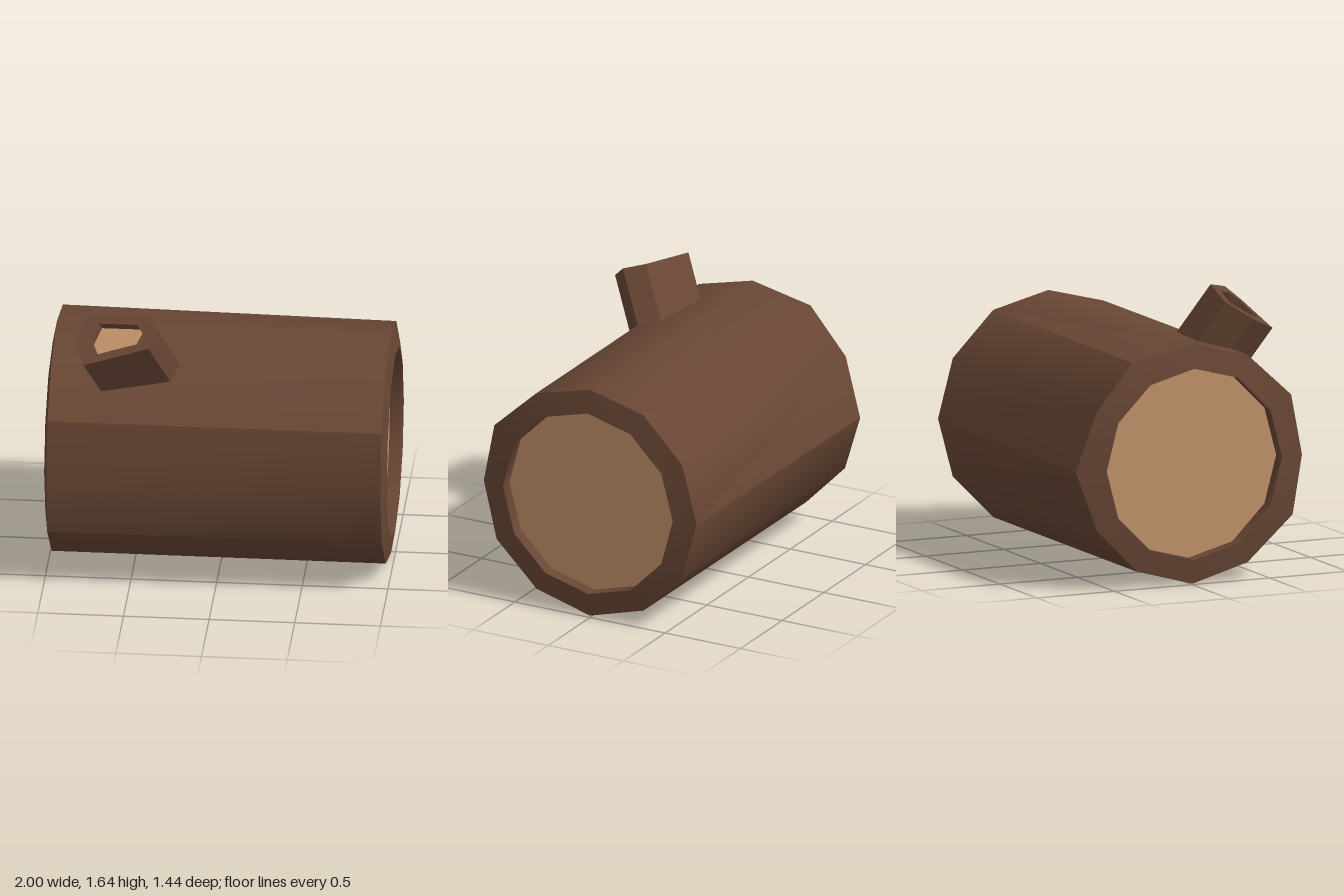
import * as THREE from 'three';
import { toCreasedNormals } from 'three/addons/utils/BufferGeometryUtils.js';

const bark = new THREE.MeshStandardMaterial({ color: 0x684634 });
const wood = new THREE.MeshStandardMaterial({ color: 0xc2926a });

function buildGeometry(points, index) {
  const geo = new THREE.BufferGeometry().setFromPoints(points);
  geo.setIndex(index);
  return toCreasedNormals(geo, THREE.MathUtils.degToRad(33));
}

// Skin through rings that run clockwise as seen from the last ring's side
function loft(rings) {
  const n = rings[0].length;
  const index = [];
  for (let r = 0; r < rings.length - 1; r++) {
    for (let i = 0; i < n; i++) {
      const j = (i + 1) % n;
      const a = r * n + i, b = r * n + j, c = b + n, d = a + n;
      index.push(a, d, c, a, c, b);
    }
  }
  return buildGeometry(rings.flat(), index);
}

function centreOf(ring) {
  return ring.reduce((sum, p) => sum.add(p), new THREE.Vector3()).divideScalar(ring.length);
}

// Flat disc filling a ring; atStart faces it back along the loft
function cap(ring, atStart) {
  const n = ring.length;
  const index = [];
  for (let i = 0; i < n; i++) {
    const j = (i + 1) % n;
    index.push(n, atStart ? i : j, atStart ? j : i);
  }
  return buildGeometry([...ring, centreOf(ring)], index);
}

function addMesh(group, name, geometry, material) {
  const mesh = new THREE.Mesh(geometry, material);
  mesh.name = name;
  group.add(mesh);
}

export function createModel() {
  const model = new THREE.Group();
  model.name = 'log';

  // Irregular twelve-sided bark outlines as [z, y], from the top towards the back
  const rightOutline = [[0.015, 1.415], [-0.34, 1.325], [-0.6, 1.06], [-0.695, 0.71], [-0.6, 0.36], [-0.34, 0.1],
    [0.015, 0], [0.37, 0.1], [0.635, 0.36], [0.72, 0.71], [0.65, 1.07], [0.37, 1.325]];
  const leftOutline = [[0.015, 1.415], [-0.37, 1.335], [-0.605, 1.06], [-0.72, 0.71], [-0.6, 0.36], [-0.345, 0.1],
    [0.015, 0], [0.37, 0.1], [0.66, 0.36], [0.72, 0.71], [0.65, 1.07], [0.37, 1.325]];
  const outer = (outline, x) => outline.map(([z, y]) => new THREE.Vector3(x, y, z));
  const inner = (x) => Array.from({ length: 12 }, (_, i) => {
    const t = (i / 12) * Math.PI * 2;
    return new THREE.Vector3(x, 0.71 + 0.565 * Math.cos(t), 0.015 - 0.565 * Math.sin(t));
  });

  // Trunk: bark, bevelled rims and recessed cut ends
  const startRing = outer(leftOutline, -0.975);
  startRing[3].x = -0.94;
  const trunk = new THREE.Group();
  trunk.name = 'trunk';
  addMesh(trunk, 'trunkBark',
    loft([inner(-0.92), inner(-1), startRing, outer(rightOutline, 0.975), inner(1), inner(0.92)]), bark);
  addMesh(trunk, 'cutEndRight', cap(inner(-0.92), true), wood);
  addMesh(trunk, 'cutEndLeft', cap(inner(0.92), false), wood);
  model.add(trunk);

  // Branch stump: six-sided, leaning forward and sunk into the trunk
  const tip = [[-0.83, 1.505, 0.475], [-0.765, 1.605, 0.325], [-0.4, 1.645, 0.405],
    [-0.34, 1.615, 0.525], [-0.39, 1.54, 0.605], [-0.765, 1.43, 0.63]].map((p) => new THREE.Vector3(...p));
  const lean = new THREE.Vector3(0.12, -0.3, -0.17);
  const slide = (ring, k) => ring.map((p) => p.clone().addScaledVector(lean, k));
  const centre = centreOf(tip);
  const hole = tip.map((p) => p.clone().lerp(centre, 0.38));
  const floor = slide(hole, 0.13);
  const stump = new THREE.Group();
  stump.name = 'branchStump';
  addMesh(stump, 'branchBark', loft([slide(tip, 1.25), tip, hole, floor]), bark);
  addMesh(stump, 'branchCutEnd', cap(floor, false), wood);
  model.add(stump);

  return model;
}
